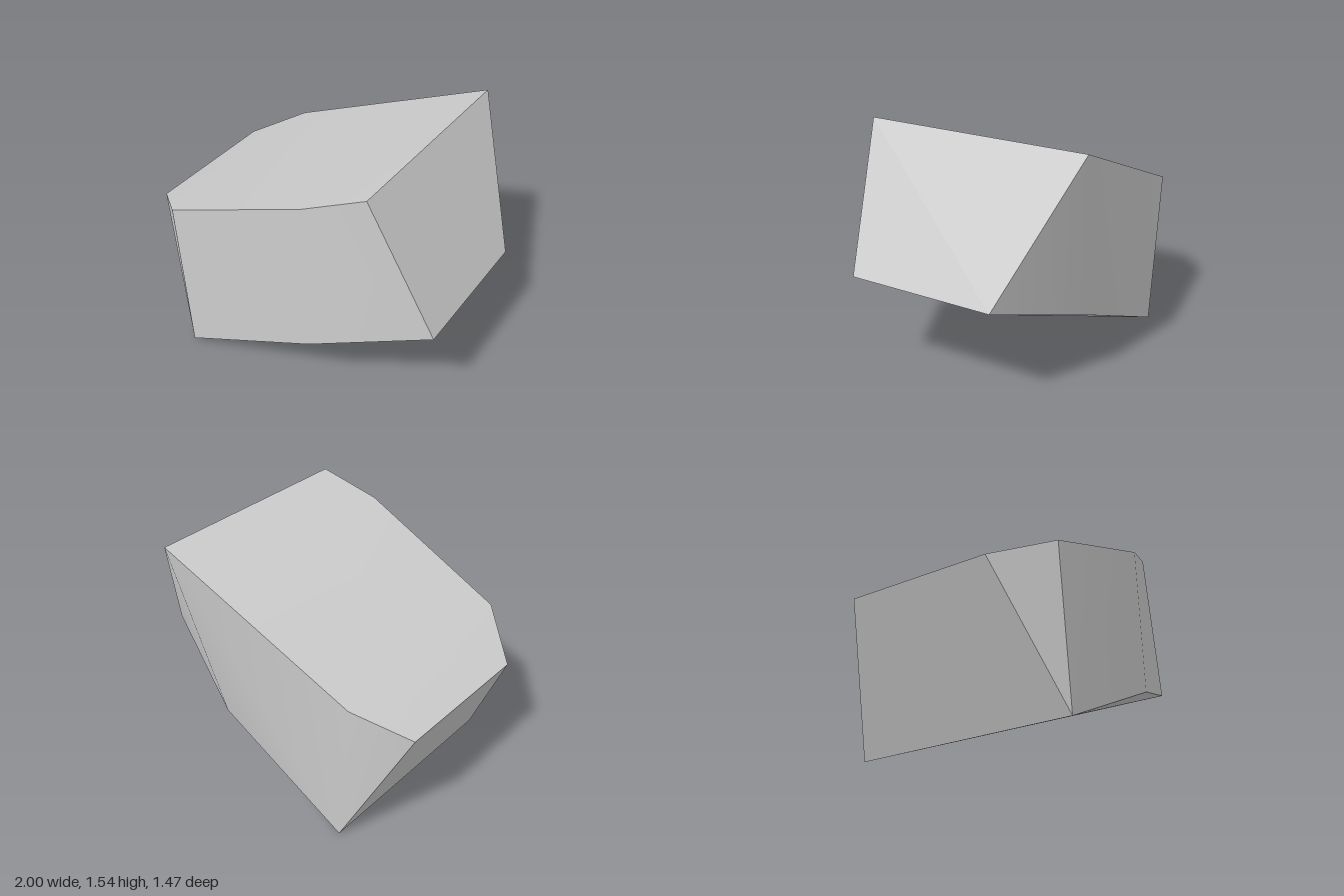
import * as THREE from 'three';
import { ConvexGeometry } from 'three/addons/geometries/ConvexGeometry.js';
import { toCreasedNormals } from 'three/addons/utils/BufferGeometryUtils.js';

export function createModel() {
  const group = new THREE.Group();
  group.name = 'rock';

  const stone = new THREE.MeshStandardMaterial({ color: 0xcccccc });
  stone.name = 'stone grey';

  // Sloping top outline, seven corners
  const top = [
    [-1, 0.84, -0.46], [-0.69, 1.0, -0.65], [0.61, 1.54, -0.735], [0.61, 1.54, 0.635],
    [0.27, 1.41, 0.73], [-0.69, 1.0, 0.715], [-1, 0.84, 0.45],
  ];
  // Sloping underside outline, six corners
  const underside = [
    [-0.62, 0, -0.635], [0.3, 0.45, -0.635], [1, 0.71, -0.37],
    [1, 0.71, 0.54], [0.3, 0.45, 0.735], [-0.62, 0, 0.735],
  ];

  // The block is the hull of both outlines, with soft shading over shallow bends
  const corners = [...top, ...underside].map((p) => new THREE.Vector3(...p));
  const block = new THREE.Mesh(toCreasedNormals(new ConvexGeometry(corners), THREE.MathUtils.degToRad(35)), stone);
  block.name = 'rockBlock';
  group.add(block);
  return group;
}
